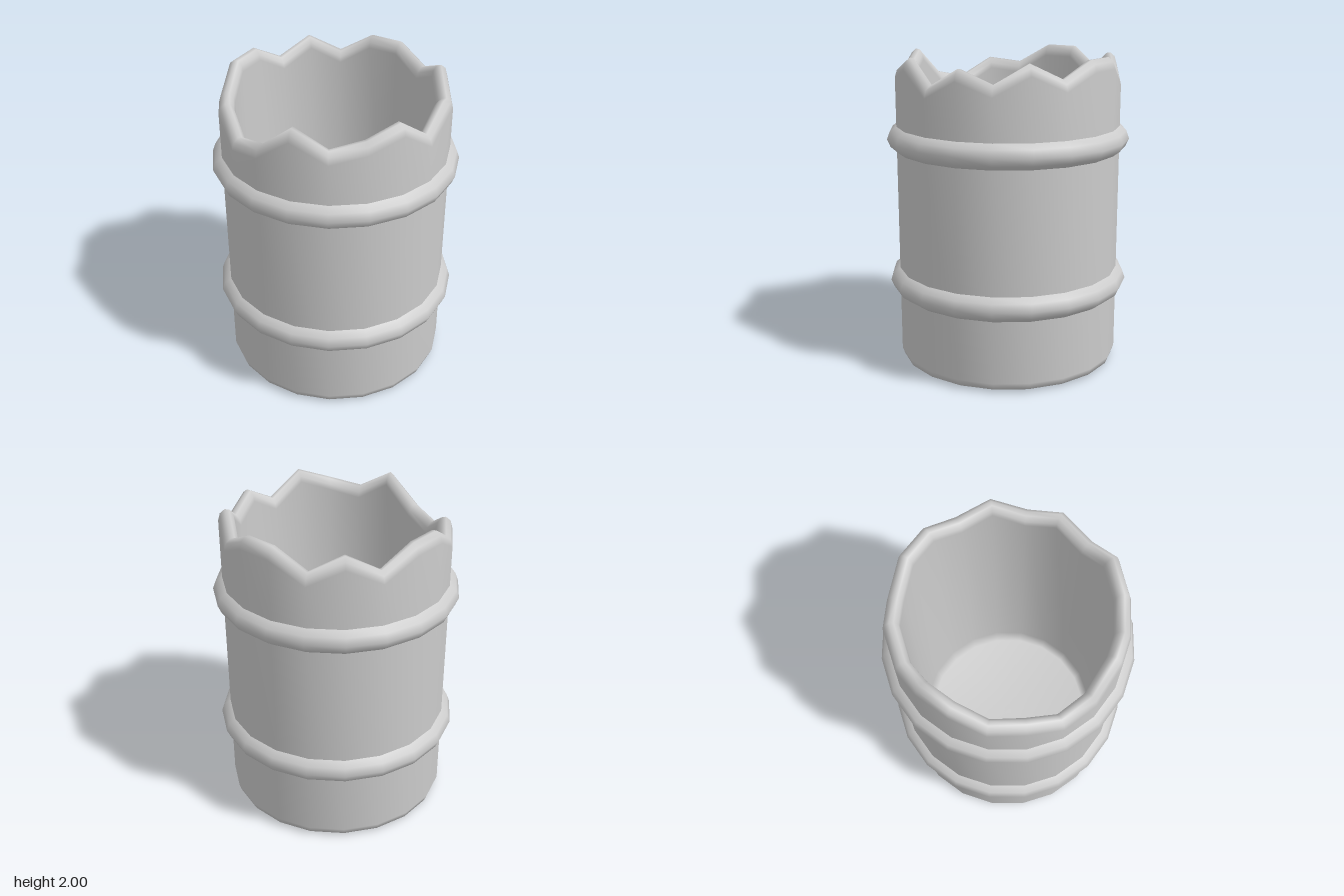
import * as THREE from 'three';
import { mergeVertices } from 'three/addons/utils/BufferGeometryUtils.js';

const SIDES = 20;
const material = new THREE.MeshStandardMaterial({ color: 0xcccccc });

// Height of the broken rim at each of the 20 sides, from the front round through +x
const rimHeights = [
  1.88, 1.93, 2.0, 1.85, 1.965, 1.88, 2.0, 1.9, 2.0, 2.0,
  1.88, 1.99, 1.88, 2.0, 2.0, 1.88, 1.91, 1.79, 1.835, 2.0,
];

function part(name, geometry) {
  const mesh = new THREE.Mesh(geometry, material);
  mesh.name = name;
  return mesh;
}

// Turned shape with smooth normals; profile heights above 1.7 follow the jagged rim
function turned(profile) {
  const points = profile.map(([r, y]) => new THREE.Vector2(r, y));
  const lathe = new THREE.LatheGeometry(points, SIDES);
  const pos = lathe.attributes.position;
  for (let i = 0; i < pos.count; i++) {
    const side = Math.floor(i / points.length) % SIDES;
    if (pos.getY(i) > 1.7) pos.setY(i, pos.getY(i) + rimHeights[side] - 2);
  }
  lathe.deleteAttribute('uv');
  lathe.deleteAttribute('normal');
  const geometry = mergeVertices(lathe);
  geometry.computeVertexNormals();
  return geometry;
}

export function createModel() {
  const group = new THREE.Group();
  group.name = 'brokenBarrel';

  // Outer wall, rounded broken rim, inner wall and floor
  group.add(part('barrelBody', turned([
    [0.665, 0], [0.7, 0.018], [0.715, 0.06], [0.715, 1.39],
    [0.715, 1.93], [0.702, 1.975], [0.672, 2], [0.645, 1.997], [0.622, 1.965],
    [0.615, 1.93], [0.6, 0.14], [0.56, 0.08], [0, 0.08],
  ])));

  // Flat underside
  const base = new THREE.CircleGeometry(0.665, SIDES);
  base.rotateX(Math.PI / 2);
  group.add(part('underside', base));

  // Two raised hoops
  for (const [name, y] of [['lowerHoop', 0.54], ['upperHoop', 1.47]]) {
    const hoop = part(name, turned([
      [0.7, -0.09], [0.718, -0.075], [0.755, -0.048], [0.776, 0],
      [0.758, 0.05], [0.718, 0.078], [0.7, 0.09],
    ]));
    hoop.position.y = y;
    group.add(hoop);
  }
  return group;
}
